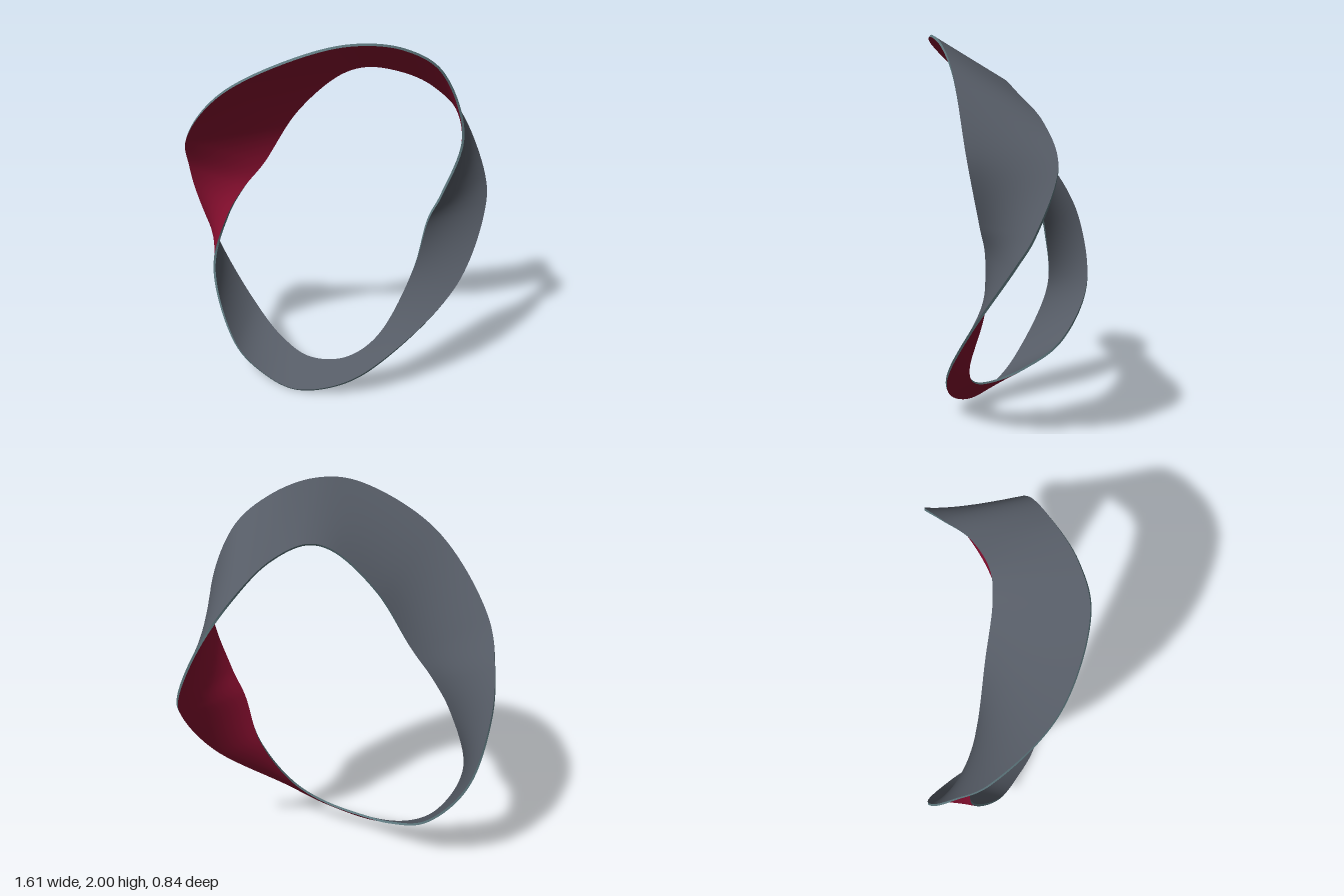
import * as THREE from 'three';

const STEPS = 240, ACROSS = 8, HALF = 0.006;

// Guide points of the two rims, paired station by station around the loop
const rimA = [
  0.12, 1.995, 0.35, 0.35, 1.94, 0.22, 0.53, 1.8, 0.11, 0.65, 1.43, 0.01, 0.555, 1.09, -0.03, 0.49, 0.94, -0.04,
  0.42, 0.65, -0.01, 0.24, 0.3, 0.12, 0.07, 0.17, 0.14, -0.13, 0.125, 0.08, -0.3, 0.16, -0.05, -0.48, 0.28, -0.22,
  -0.68, 0.57, -0.33, -0.785, 0.93, -0.265, -0.8, 1.15, -0.16, -0.77, 1.37, 0.01, -0.5, 1.74, 0.315, -0.1, 1.96, 0.415,
];
const rimB = [
  0.15, 1.77, -0.045, 0.33, 1.715, -0.15, 0.5, 1.58, -0.32, 0.65, 1.39, -0.425, 0.785, 1.08, -0.345, 0.797, 0.94, -0.26,
  0.66, 0.58, 0, 0.3, 0.24, 0.225, 0.07, 0.085, 0.265, -0.2, 0.005, 0.225, -0.4, 0.05, 0.135, -0.55, 0.17, 0.055,
  -0.68, 0.55, -0.095, -0.59, 0.89, -0.1, -0.49, 1.07, -0.085, -0.38, 1.22, -0.065, -0.2, 1.52, -0.045, 0.02, 1.73, -0.025,
];

function closedCurve(a) {
  const pts = [];
  for (let i = 0; i < a.length; i += 3) pts.push(new THREE.Vector3(a[i], a[i + 1], a[i + 2]));
  return new THREE.CatmullRomCurve3(pts, true);
}

// Closed strip ruled between two loops of points
function strip(name, from, to, across, material) {
  const pos = [], index = [], row = across + 1;
  for (let i = 0; i < STEPS; i++) {
    for (let j = 0; j <= across; j++) pos.push(...from[i].clone().lerp(to[i], j / across).toArray());
    for (let j = 0; j < across; j++) {
      const a = i * row + j, b = ((i + 1) % STEPS) * row + j;
      index.push(a, b, a + 1, b, b + 1, a + 1);
    }
  }
  const geo = new THREE.BufferGeometry();
  geo.setAttribute('position', new THREE.Float32BufferAttribute(pos, 3));
  geo.setIndex(index);
  geo.computeVertexNormals();
  const mesh = new THREE.Mesh(geo, material);
  mesh.name = name;
  return mesh;
}

export function createModel() {
  const red = new THREE.MeshStandardMaterial({ color: 0x8a0f30 });
  red.name = 'crimson';
  const grey = new THREE.MeshStandardMaterial({ color: 0x555b65 });
  grey.name = 'slateGrey';
  const teal = new THREE.MeshStandardMaterial({ color: 0x5f7a80 });
  teal.name = 'greyTeal';

  const curveA = closedCurve(rimA), curveB = closedCurve(rimB);
  const aRed = [], aGrey = [], bRed = [], bGrey = [];
  for (let i = 0; i < STEPS; i++) {
    const t = i / STEPS;
    const a = curveA.getPoint(t), b = curveB.getPoint(t);
    const width = a.clone().sub(b);
    // Offset each rim along its own surface normal to give the band thickness
    const offset = (curve) => curve.getTangent(t).cross(width).setLength(HALF);
    const na = offset(curveA), nb = offset(curveB);
    aRed.push(a.clone().add(na));
    aGrey.push(a.clone().sub(na));
    bRed.push(b.clone().add(nb));
    bGrey.push(b.clone().sub(nb));
  }

  const group = new THREE.Group();
  group.name = 'twistedBand';
  group.add(
    strip('redFace', bRed, aRed, ACROSS, red),
    strip('greyFace', aGrey, bGrey, ACROSS, grey),
    strip('firstRim', aRed, aGrey, 1, teal),
    strip('secondRim', bGrey, bRed, 1, teal),
  );
  return group;
}
